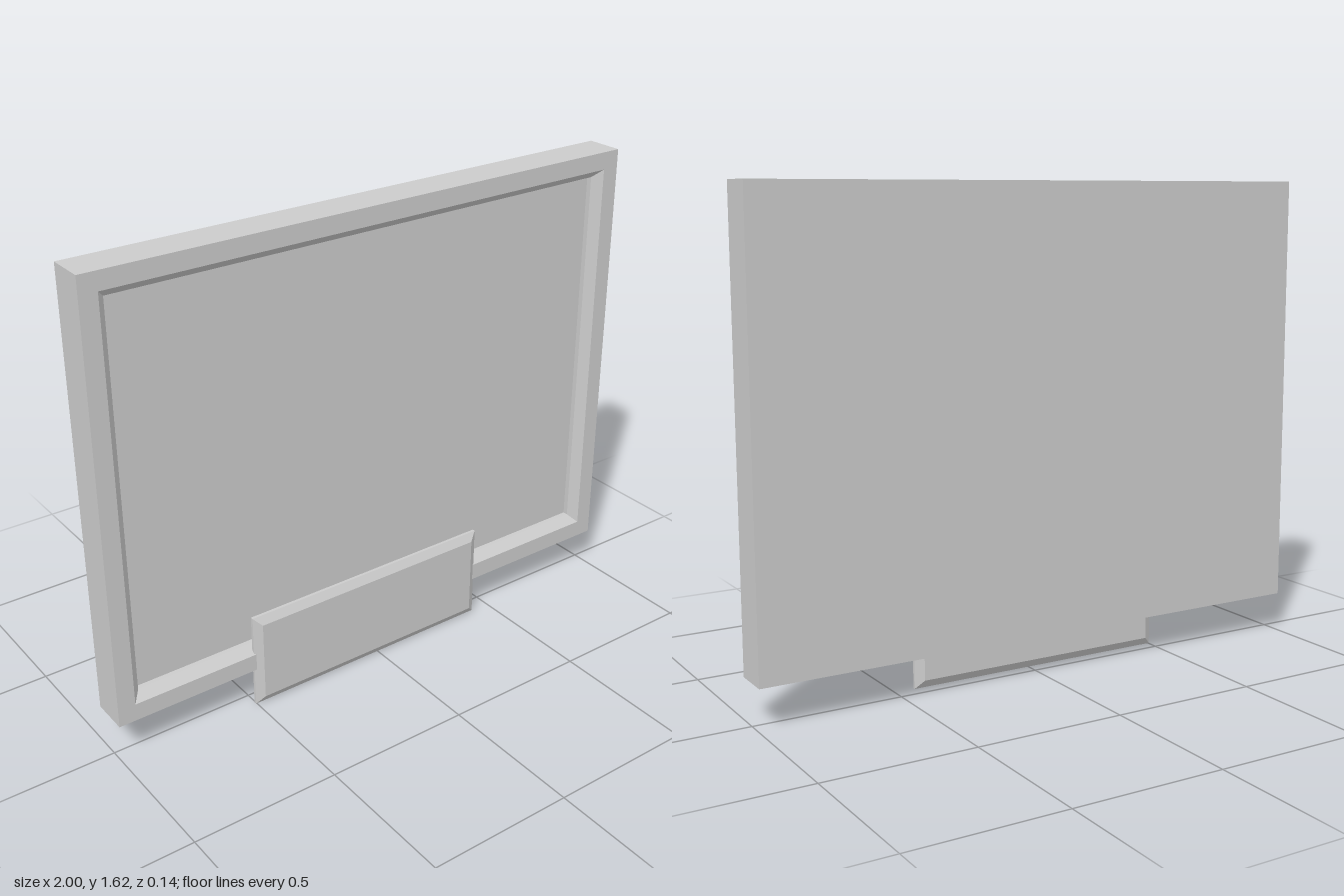
import * as THREE from 'three';

// Joins rectangular rings [x0, x1, y0, y1, z] into a closed, flat-faced solid.
function loftRects(rings) {
  const loops = rings.map(([x0, x1, y0, y1, z]) => [
    [x0, y0, z], [x1, y0, z], [x1, y1, z], [x0, y1, z],
  ]);
  const pos = [];
  const quad = (a, b, c, d) => pos.push(...a, ...b, ...c, ...a, ...c, ...d);

  for (let r = 0; r < loops.length - 1; r++) {
    const a = loops[r], b = loops[r + 1];
    for (let i = 0; i < 4; i++) {
      const j = (i + 1) % 4;
      quad(a[i], a[j], b[j], b[i]);
    }
  }
  quad(...[...loops[0]].reverse()); // back cap
  quad(...loops[loops.length - 1]); // front cap

  const geo = new THREE.BufferGeometry();
  geo.setAttribute('position', new THREE.Float32BufferAttribute(pos, 3));
  geo.computeVertexNormals();
  return geo;
}

export function createModel() {
  const group = new THREE.Group();
  const material = new THREE.MeshStandardMaterial({ color: 0xcccccc, flatShading: true });
  const add = (name, rings) => {
    const mesh = new THREE.Mesh(loftRects(rings), material);
    mesh.name = name;
    group.add(mesh);
  };

  // Rectangle of the board, inset on every side
  const board = (inset, z) => [-1 + inset, 1 - inset, 0.138 + inset, 1.625 - inset, z];
  // Framed board: outer block, chamfered opening, recessed panel
  add('framedBoard', [
    board(0, -0.071),
    board(0, 0.058),
    board(0.06, 0.058),
    board(0.088, 0.028),
    board(0.088, 0.01),
  ]);

  // Name plate: slab bevelled on both sides, set over the lower rail
  const plate = (inset, z) => [-0.503 + inset, 0.43 - inset, inset, 0.337 - inset, z];
  add('namePlate', [
    plate(0.028, 0.026),
    plate(0, 0.044),
    plate(0, 0.054),
    plate(0.028, 0.071),
  ]);

  return group;
}
